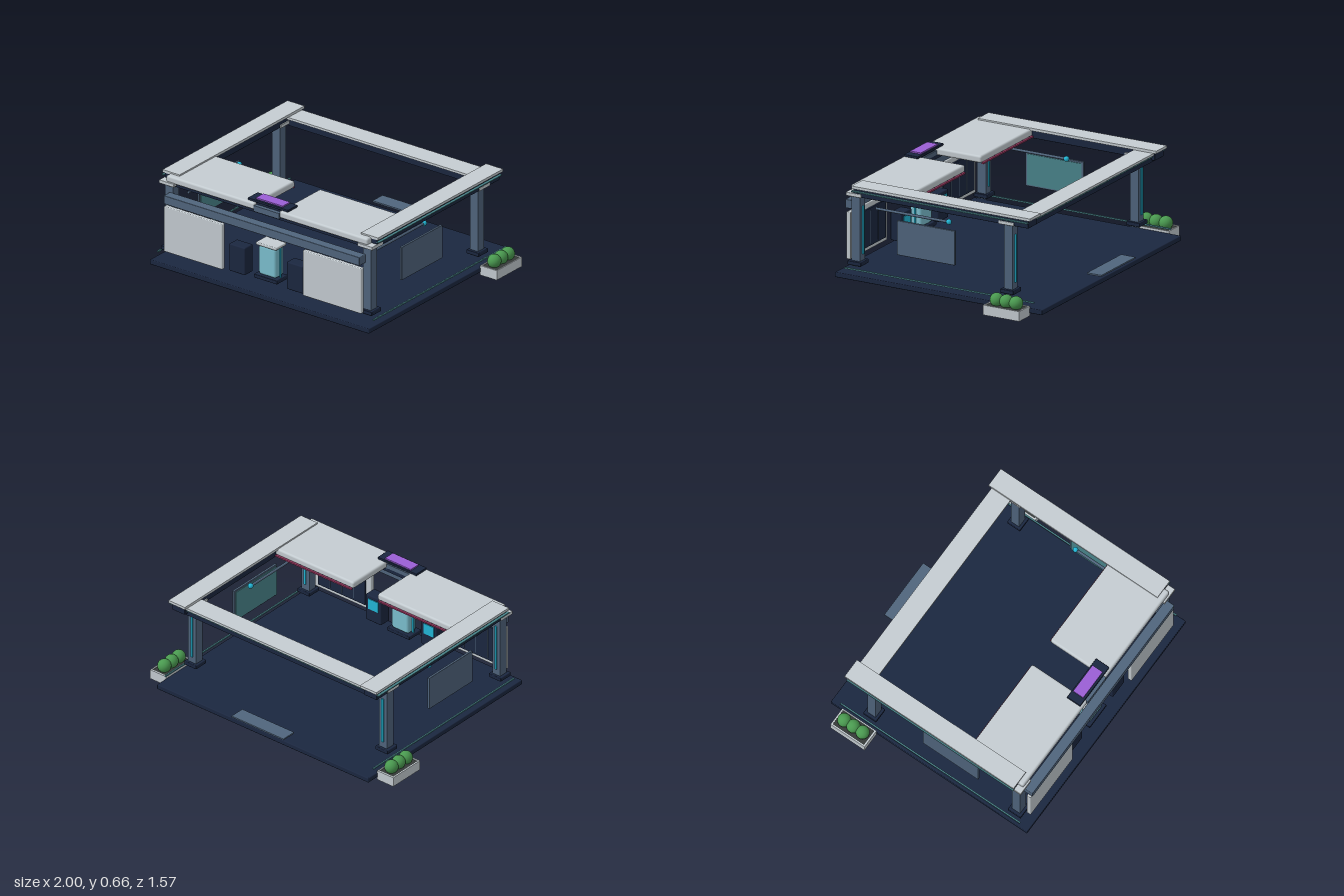
import * as THREE from 'three';
import { RoundedBoxGeometry } from 'three/addons/geometries/RoundedBoxGeometry.js';

const mat = (color) => new THREE.MeshStandardMaterial({ color });

export function createModel() {
  const root = new THREE.Group();
  const navy = mat(0x1b2740), slate = mat(0x50657d), light = mat(0xc5cdd2);
  const cyan = mat(0x22b8d8), teal = mat(0x4a858c), glass = mat(0x7cc0d0);
  const purple = mat(0x9b5fd6), green = mat(0x4a9a50), soil = mat(0x353a38), rose = mat(0x9a3a62);

  const add = (name, geometry, material, parent = root) => {
    const mesh = new THREE.Mesh(geometry, material);
    mesh.name = name;
    parent.add(mesh);
    return mesh;
  };
  // Box given by its extents; a radius rounds its edges
  const box = (name, material, [x0, x1], [y0, y1], [z0, z1], radius = 0, parent = root) => {
    const w = x1 - x0, h = y1 - y0, d = z1 - z0;
    const geometry = radius
      ? new RoundedBoxGeometry(w, h, d, 2, radius)
      : new THREE.BoxGeometry(w, h, d);
    const mesh = add(name, geometry, material, parent);
    mesh.position.set((x0 + x1) / 2, (y0 + y1) / 2, (z0 + z1) / 2);
    return mesh;
  };
  // Box repeated on both sides of the centre line
  const pair = (name, material, [x0, x1], y, z, radius = 0) => {
    box(name + 'Left', material, [x0, x1], y, z, radius);
    box(name + 'Right', material, [-x1, -x0], y, z, radius);
  };

  // Floor, side light lines and rear entry step
  box('floor', navy, [-0.87, 0.87], [0.018, 0.052], [-0.74, 0.78], 0.006);
  pair('floorLightLine', teal, [0.85, 0.86], [0.083, 0.092], [-0.675, 0.717]);
  box('entryStep', slate, [-0.213, 0.213], [0.096, 0.106], [-0.79, -0.685]);

  // Four pillars with foot, capital and a rear light strip
  for (const zc of [0.657, -0.462]) {
    const end = zc > 0 ? 'front' : 'back';
    pair(end + 'Pillar', slate, [0.753, 0.817], [0.095, 0.57], [zc - 0.032, zc + 0.032]);
    pair(end + 'PillarFoot', navy, [0.737, 0.837], [0.105, 0.132], [zc - 0.05, zc + 0.05], 0.005);
    pair(end + 'PillarCap', light, [0.728, 0.846], [0.566, 0.59], [zc - 0.057, zc + 0.057], 0.004);
    pair(end + 'PillarLight', cyan, [0.778, 0.792], [0.175, 0.495], [zc - 0.041, zc - 0.032]);
  }

  // Side beams with cover slabs and light lines
  pair('sideBeam', navy, [0.735, 0.843], [0.568, 0.623], [-0.625, 0.66], 0.005);
  pair('sideBeamCover', light, [0.72, 0.855], [0.622, 0.64], [-0.643, 0.665]);
  pair('sideBeamLight', teal, [0.843, 0.861], [0.602, 0.609], [-0.625, 0.665]);

  // Back and front cross beams
  box('backBeam', navy, [-0.77, 0.77], [0.555, 0.606], [-0.6, -0.495]);
  box('backBeamCover', light, [-0.75, 0.75], [0.604, 0.62], [-0.62, -0.475]);
  box('backBeamLight', teal, [-0.75, 0.75], [0.588, 0.595], [-0.607, -0.6]);
  box('frontBeam', navy, [-0.78, 0.78], [0.56, 0.585], [0.6, 0.685]);

  // Canopy halves with a coloured line under their inner edge
  pair('canopy', light, [0.098, 0.8], [0.582, 0.63], [0.275, 0.703], 0.014);
  pair('canopyEdgeLight', rose, [0.11, 0.74], [0.575, 0.585], [0.266, 0.28]);

  // Roof sign between the canopy halves
  box('signMount', slate, [-0.1, 0.1], [0.575, 0.615], [0.6, 0.707]);
  box('signNeck', navy, [-0.1, 0.1], [0.615, 0.635], [0.61, 0.68]);
  box('signBase', navy, [-0.16, 0.16], [0.632, 0.648], [0.587, 0.69], 0.004);
  box('signFace', purple, [-0.106, 0.106], [0.646, 0.657], [0.597, 0.675]);

  // Front fascia and wall panels with inward displays
  box('fascia', slate, [-0.777, 0.777], [0.456, 0.515], [0.69, 0.757], 0.005);
  pair('frontPanel', light, [0.32, 0.783], [0.12, 0.435], [0.716, 0.747], 0.006);
  pair('wallDisplay', navy, [0.36, 0.745], [0.15, 0.4], [0.704, 0.718]);
  for (let i = 1; i < 4; i++) {
    const x = 0.36 + i * 0.096;
    pair('displaySeam' + i, slate, [x - 0.002, x + 0.002], [0.165, 0.385], [0.701, 0.705]);
  }

  // Central reception counter
  box('counterBase', navy, [-0.092, 0.092], [0.12, 0.146], [0.598, 0.716], 0.005);
  box('counterBody', glass, [-0.07, 0.07], [0.146, 0.352], [0.613, 0.7], 0.018);
  box('counterTop', light, [-0.081, 0.081], [0.35, 0.37], [0.602, 0.712], 0.006);
  pair('counterLight', cyan, [0.07, 0.081], [0.146, 0.35], [0.652, 0.662]);

  // Kiosks with inward screens
  pair('kiosk', navy, [0.165, 0.292], [0.11, 0.3], [0.628, 0.712], 0.008);
  pair('kioskScreen', cyan, [0.187, 0.27], [0.2, 0.275], [0.623, 0.63]);

  // Hanging side panels with screens on the inner face
  pair('sidePanel', slate, [0.795, 0.812], [0.22, 0.45], [-0.067, 0.36], 0.004);
  pair('sideScreen', teal, [0.79, 0.796], [0.232, 0.438], [-0.053, 0.346]);

  for (const side of [1, -1]) {
    // Lamp arm ending in a glowing ball
    const arm = add('lampArm', new THREE.CylinderGeometry(0.009, 0.009, 0.535, 12), slate);
    arm.rotation.x = Math.PI / 2;
    arm.position.set(side * 0.733, 0.474, 0.288);
    add('lampBall', new THREE.SphereGeometry(0.018, 16, 12), cyan)
      .position.set(side * 0.733, 0.474, 0.022);

    // Planter trough with soil and three shrubs
    const planter = new THREE.Group();
    planter.name = 'planter';
    planter.position.set(side * 0.934, 0, -0.518);
    root.add(planter);
    box('planterBottom', light, [-0.066, 0.066], [0, 0.05], [-0.132, 0.132], 0, planter);
    for (const s of [-1, 1]) {
      const x = s * 0.0615, z = s * 0.1265;
      box('planterSide', light, [x - 0.0045, x + 0.0045], [0.05, 0.066], [-0.132, 0.132], 0, planter);
      box('planterEnd', light, [-0.057, 0.057], [0.05, 0.066], [z - 0.0055, z + 0.0055], 0, planter);
    }
    box('soil', soil, [-0.057, 0.057], [0.05, 0.062], [-0.121, 0.121], 0, planter);
    for (const i of [-1, 0, 1]) {
      add('shrub', new THREE.SphereGeometry(0.045, 20, 14), green, planter)
        .position.set(0, 0.094, i * 0.071);
    }
  }
  return root;
}
